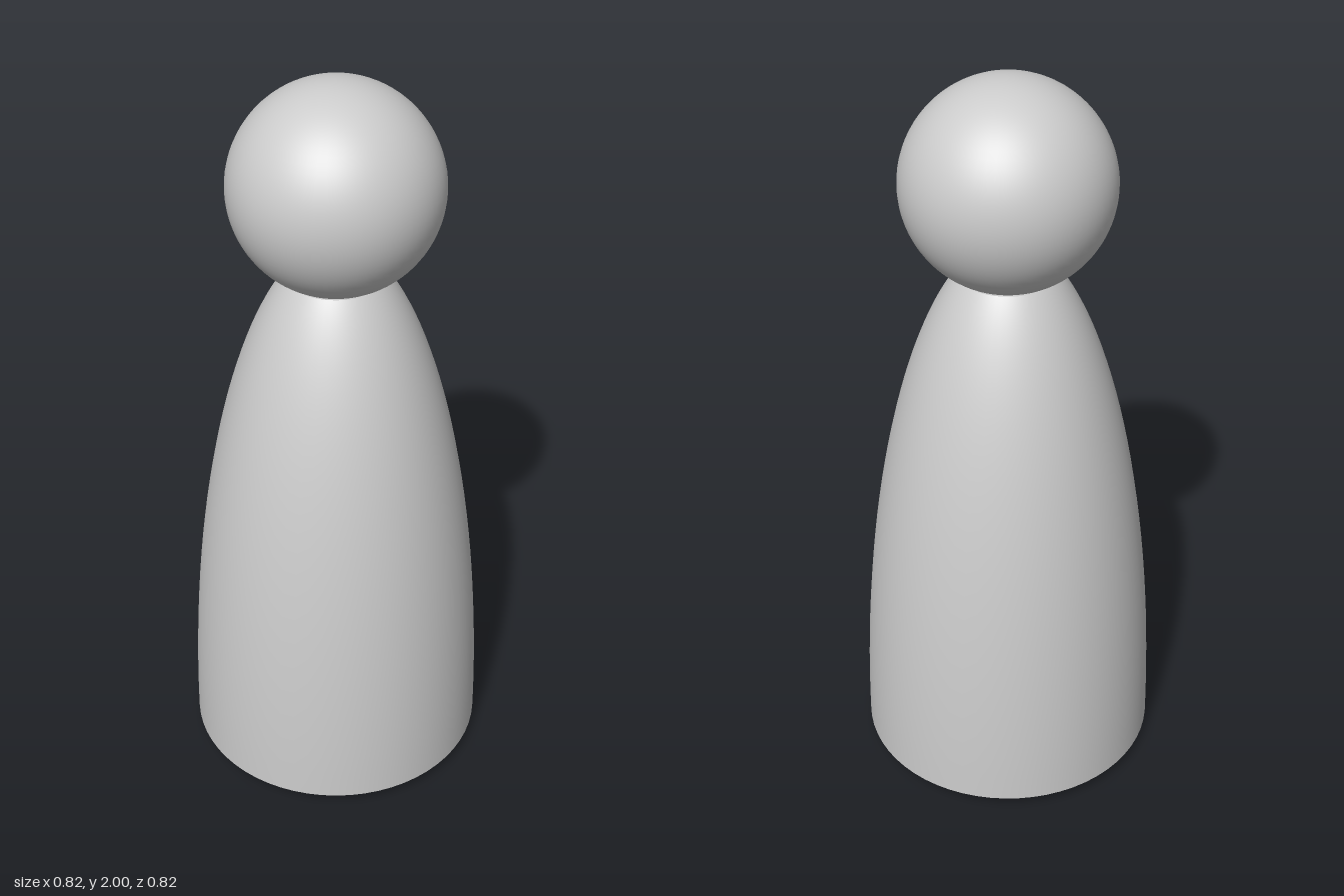
import * as THREE from 'three';

const SEGMENTS = 64;

export function createModel() {
  const model = new THREE.Group();
  model.name = 'gamePawn';
  const material = new THREE.MeshStandardMaterial({ color: 0xcccccc });

  const add = (name, geometry, parent) => {
    const mesh = new THREE.Mesh(geometry, material);
    mesh.name = name;
    parent.add(mesh);
    return mesh;
  };
  // Each section is its own lathe, so the edges between sections stay sharp
  const lathe = (points) =>
    new THREE.LatheGeometry(points.map(([r, y]) => new THREE.Vector2(r, y)), SEGMENTS);

  // Body: an elliptical dome cut off at the neck
  const body = new THREE.Group();
  body.name = 'body';
  model.add(body);
  const baseRadius = 0.41, domeHeight = 1.563, chamferTop = 0.03, neckY = 1.48;
  const radiusAt = (y) => baseRadius * Math.sqrt(1 - (y / domeHeight) ** 2);
  const steps = 32;
  const profile = [];
  for (let i = 0; i <= steps; i++) {
    const t = Math.sin((i / steps) * Math.PI / 2); // closer rings where the curve is tighter
    const y = chamferTop + (neckY - chamferTop) * t;
    profile.push([radiusAt(y), y]);
  }
  add('bodySide', lathe(profile), body);
  add('neckTop', lathe([[radiusAt(neckY), neckY], [0, neckY]]), body);

  // Foot: chamfered rim and flat underside
  add('baseChamfer', lathe([[0.38, 0], [radiusAt(chamferTop), chamferTop]]), body);
  add('baseUnderside', lathe([[0, 0], [0.38, 0]]), body);

  // Head
  const head = add('head', new THREE.SphereGeometry(0.275, SEGMENTS, 40), model);
  head.position.y = 1.725;

  return model;
}
